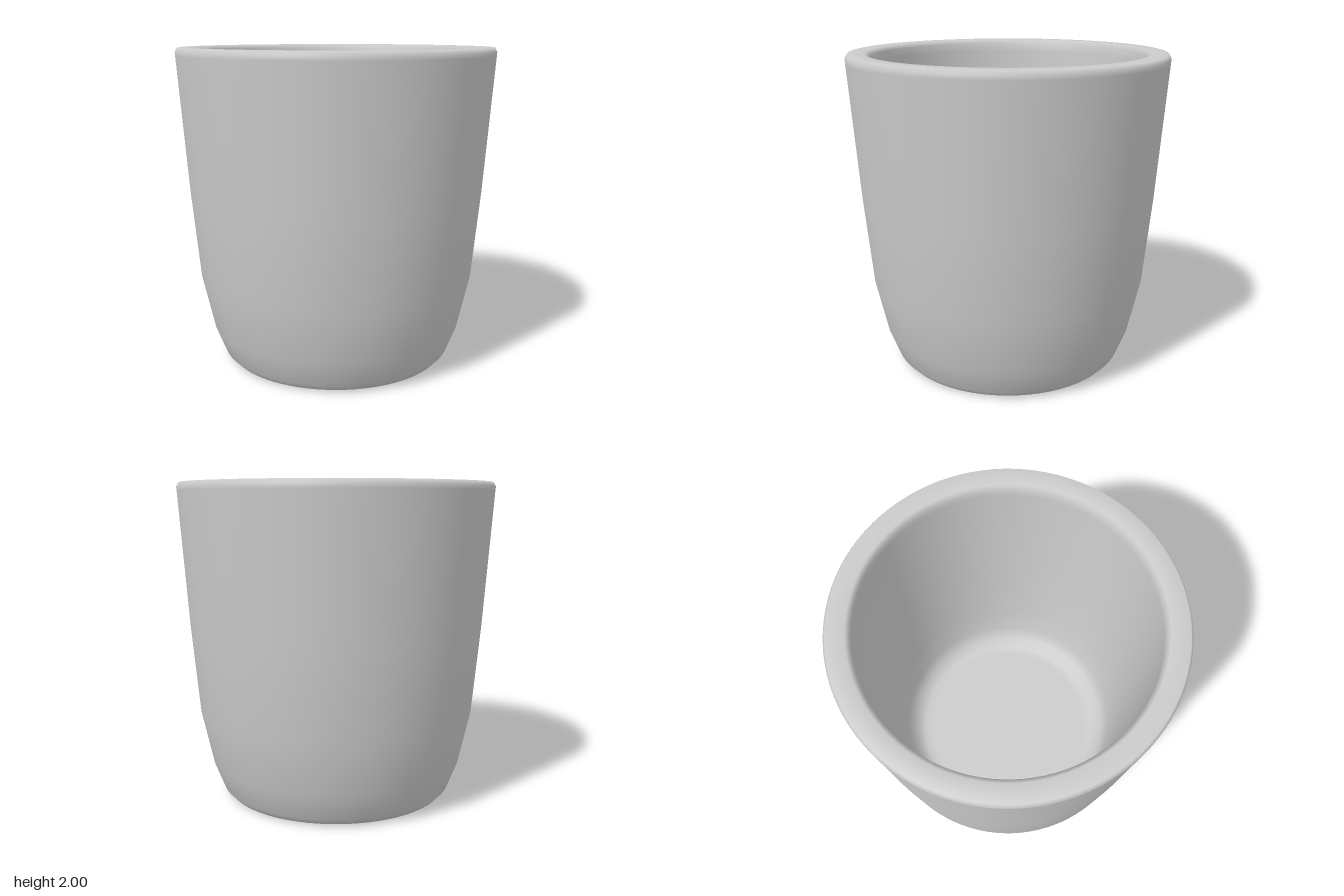
import * as THREE from 'three';

export function createModel() {
  const group = new THREE.Group();
  group.name = 'cup';
  const material = new THREE.MeshStandardMaterial({ color: 0xcccccc });

  // One closed profile (radius, height): base, outer wall, rim, inner wall, inner floor
  const profile = [
    [0, 0], [0.68, 0], [0.705, 0.008],
    [0.745, 0.05], [0.81, 0.215], [0.885, 0.555], [0.935, 1.1], [0.995, 1.95],
    [0.997, 1.975], [0.982, 2], [0.875, 2], [0.85, 1.975],
    [0.855, 1.92], [0.81, 1.1], [0.765, 0.58], [0.73, 0.33],
    [0.69, 0.23], [0.62, 0.2], [0.56, 0.2], [0, 0.2],
  ].map(([r, y]) => new THREE.Vector2(r, y));

  const body = new THREE.Mesh(new THREE.LatheGeometry(profile, 96), material);
  body.name = 'cupBody';
  group.add(body);
  return group;
}
